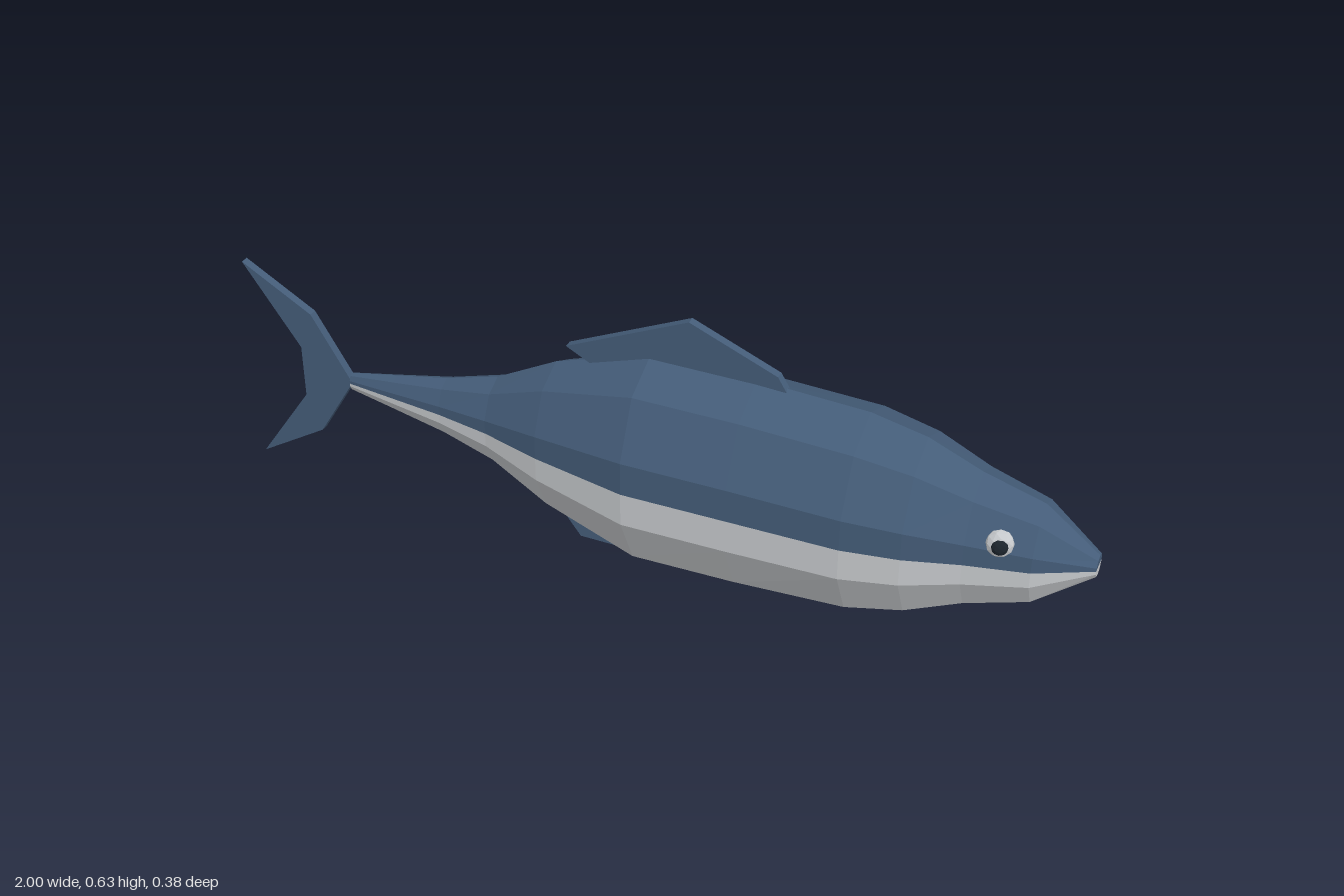
import * as THREE from 'three';
import { ConvexGeometry } from 'three/addons/geometries/ConvexGeometry.js';

const MID_Y = 0.269, MID_Z = 0.025;

function material(name, color) {
  const m = new THREE.MeshStandardMaterial({ color, flatShading: true });
  m.name = name;
  return m;
}

// Body rings from tail to nose: x, half height, half depth
const RINGS = [
  [-0.74, 0.022, 0.014], [-0.62, 0.045, 0.031], [-0.49, 0.071, 0.049],
  [-0.36, 0.108, 0.076], [-0.215, 0.184, 0.122], [0.01, 0.257, 0.173],
  [0.25, 0.254, 0.173], [0.5, 0.24, 0.173], [0.625, 0.212, 0.153],
  [0.745, 0.16, 0.117], [0.88, 0.119, 0.087], [1, 0.025, 0.025],
];

// Upper half of a ten-sided section, cut at mid height: z, y
const HALF = [[-0.951, 0], [-0.951, 0.309], [-0.588, 0.809], [0, 1], [0.588, 0.809], [0.951, 0.309], [0.951, 0]];

// side = 1 builds the back half, side = -1 the belly half
function bodyHalf(side) {
  const pos = [];
  const point = (i, j) => {
    const [x, ry, rz] = RINGS[i];
    return [x, MID_Y + side * HALF[j][1] * ry, MID_Z + side * HALF[j][0] * rz];
  };
  const last = RINGS.length - 1;
  for (let j = 0; j < HALF.length - 1; j++) {
    for (let i = 0; i < last; i++) {
      const a = point(i, j), b = point(i, j + 1), c = point(i + 1, j), d = point(i + 1, j + 1);
      pos.push(...a, ...b, ...c, ...b, ...d, ...c);
    }
    pos.push(RINGS[last][0], MID_Y, MID_Z, ...point(last, j), ...point(last, j + 1));
    pos.push(RINGS[0][0], MID_Y, MID_Z, ...point(0, j + 1), ...point(0, j));
  }
  const g = new THREE.BufferGeometry();
  g.setAttribute('position', new THREE.Float32BufferAttribute(pos, 3));
  g.computeVertexNormals();
  return g;
}

// Flat fin on the centre plane from an x, y outline
function plateFin(points) {
  const shape = new THREE.Shape(points.map(([x, y]) => new THREE.Vector2(x, y)));
  const g = new THREE.ExtrudeGeometry(shape, { depth: 0.02, bevelEnabled: false });
  return g.translate(0, 0, MID_Z - 0.01);
}

export function createModel() {
  const blue = material('slate blue', 0x445c78);
  const silver = material('silver', 0xc6c9cc);
  const dark = material('pupil dark', 0x1c242c);

  const fish = new THREE.Group();
  fish.name = 'fish';
  const add = (name, geometry, mat, parent = fish) => {
    const mesh = new THREE.Mesh(geometry, mat);
    mesh.name = name;
    parent.add(mesh);
    return mesh;
  };

  // Body
  add('upperBody', bodyHalf(1), blue);
  add('belly', bodyHalf(-1), silver);

  // Centre fins
  add('dorsalFin', plateFin([[-0.185, 0.505], [-0.1, 0.46], [0.2, 0.46], [0.32, 0.515], [0.3, 0.548], [0.1, 0.632]]), blue);
  add('analFin', plateFin([[-0.24, 0.11], [-0.16, 0.003], [0.08, 0], [0.1, 0.01], [0.02, 0.05], [-0.1, 0.12]]), blue);
  add('tailFin', plateFin([
    [-0.735, 0.27], [-0.83, 0.43], [-1, 0.53], [-0.865, 0.335],
    [-0.865, 0.205], [-1, 0.012], [-0.83, 0.115],
  ]), blue);

  // Single side fin: a thin triangle and its offset inner face
  const outer = [[0.52, 0.22, -0.145], [0.366, 0.287, -0.154], [0.4, 0.216, -0.19]]
    .map((p) => new THREE.Vector3(...p));
  const inner = outer.map((p) => p.clone().add(new THREE.Vector3(-0.005, -0.011, 0.017)));
  add('sideFin', new ConvexGeometry([...outer, ...inner]), blue);

  // Eyes: flattened balls lying on the sloping cheeks
  for (const side of [1, -1]) {
    const eye = new THREE.Group();
    eye.name = side > 0 ? 'frontEye' : 'backEye';
    eye.position.set(0.812, MID_Y + 0.058, MID_Z + side * 0.086);
    eye.lookAt(0.812 + 0.25, MID_Y + 0.058 + 0.3, MID_Z + side * 1.086);
    add('eyeball', new THREE.IcosahedronGeometry(0.03, 1).scale(1, 1, 0.6), silver, eye);
    const pupil = add('pupil', new THREE.IcosahedronGeometry(0.018, 1).scale(1, 1, 0.6), dark, eye);
    pupil.position.set(0, -0.004, 0.012);
    fish.add(eye);
  }
  return fish;
}
